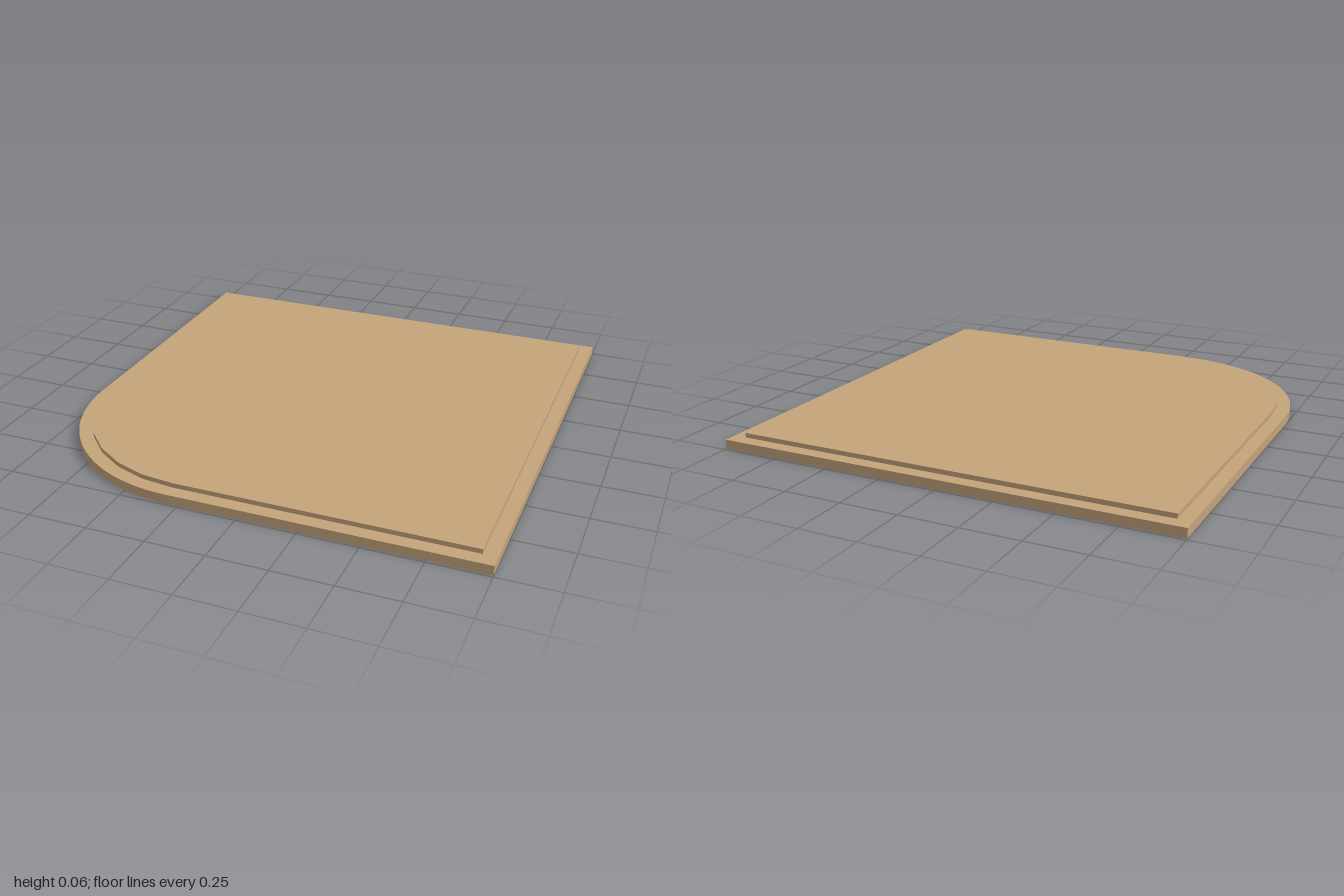
import * as THREE from 'three';
import { toCreasedNormals } from 'three/addons/utils/BufferGeometryUtils.js';

const SPLIT = 0.02;          // joint between the two halves
const FRAME_TOP = 0.04;
const DECK_TOP = 0.06;
const ARC = { x: -0.3, z: 0.29, r: 0.7 }; // rounded front corner

// Points of the rounded corner, from the side edge round to the front edge
function cornerArc(inset, segments) {
  const pts = [];
  for (let i = 0; i <= segments; i++) {
    const a = (i / segments) * Math.PI / 2;
    const r = ARC.r - inset;
    pts.push([ARC.x - r * Math.cos(a), ARC.z + r * Math.sin(a)]);
  }
  return pts;
}

// Upright prism over a plan outline of [x, z] points
function prism(name, plan, y0, y1, material) {
  const shape = new THREE.Shape(plan.map(([x, z]) => new THREE.Vector2(x, -z)));
  const geo = new THREE.ExtrudeGeometry(shape, { depth: y1 - y0, bevelEnabled: false });
  geo.rotateX(-Math.PI / 2);
  geo.translate(0, y0, 0);
  const mesh = new THREE.Mesh(toCreasedNormals(geo, 0.15), material);
  mesh.name = name;
  return mesh;
}

// Half outlines of the frame, running from back joint to front joint
const roundedHalf = (t) => [[SPLIT, -0.99 + t], [-1 + t, -0.99 + t], ...cornerArc(t, 48), [SPLIT, 0.99 - t]];
const squareHalf = (t) => [[SPLIT, -0.99 + t], [1 - t, -0.99 + t], [1 - t, 0.99 - t], [SPLIT, 0.99 - t]];

export function createModel() {
  const model = new THREE.Group();
  model.name = 'platform';
  const wood = new THREE.MeshStandardMaterial({ color: 0xc4a37a });
  wood.name = 'light wood';

  // Border frame, open underneath
  const border = 0.085;
  const frame = new THREE.Group();
  frame.name = 'frame';
  for (const [name, half] of [['roundedFrameHalf', roundedHalf], ['squareFrameHalf', squareHalf]]) {
    frame.add(prism(name, [...half(0), ...half(border).reverse()], 0, FRAME_TOP, wood));
  }
  model.add(frame);

  // Deck planks resting on the frame, trimmed to the faceted corner
  const inset = 0.057;
  const edge = 1 - inset;
  const back = -0.99 + inset;
  const front = 0.99 - inset;
  const arc = cornerArc(inset, 7);
  const frontAt = (x) => {
    for (let i = 1; i < arc.length; i++) {
      const [ax, az] = arc[i - 1], [bx, bz] = arc[i];
      if (x <= bx) return az + (bz - az) * (x - ax) / (bx - ax);
    }
    return front;
  };
  const deck = new THREE.Group();
  deck.name = 'deck';
  const step = 0.108;
  for (let k = -9; k < 9; k++) {
    const x0 = Math.max(-edge, SPLIT + k * step);
    const x1 = Math.min(edge, SPLIT + (k + 1) * step);
    if (x1 - x0 < 0.001) continue;
    const bends = arc.filter(([x]) => x > x0 + 1e-4 && x < x1 - 1e-4);
    const plan = [[x1, back], [x0, back], [x0, frontAt(x0)], ...bends, [x1, frontAt(x1)]];
    deck.add(prism('plank', plan, FRAME_TOP, DECK_TOP, wood));
  }
  model.add(deck);
  return model;
}
